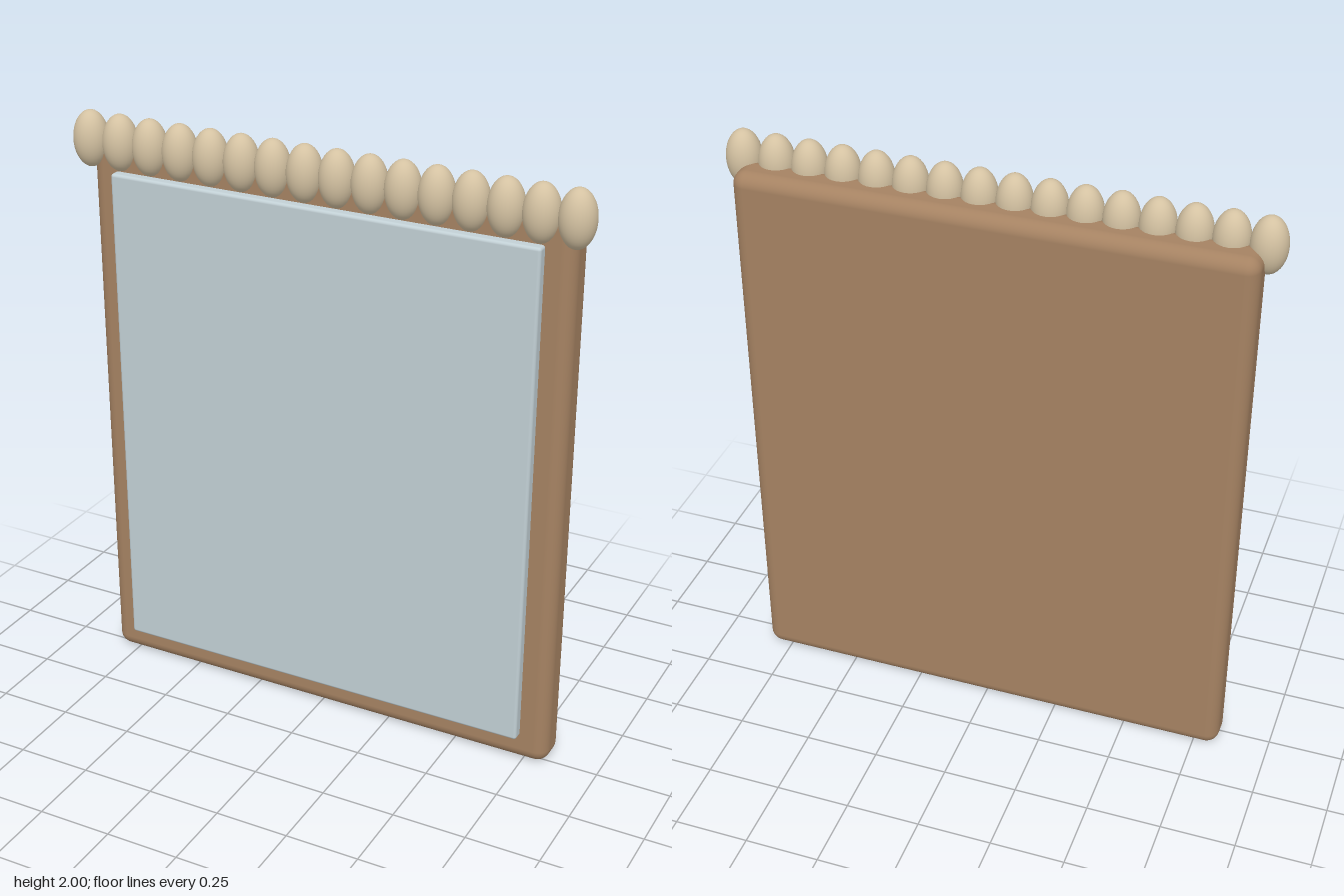
import * as THREE from 'three';
import { RoundedBoxGeometry } from 'three/addons/geometries/RoundedBoxGeometry.js';

export function createModel() {
  const model = new THREE.Group();
  model.name = 'beadedMirror';

  const material = (name, color) => {
    const m = new THREE.MeshStandardMaterial({ color });
    m.name = name;
    return m;
  };
  const wood = material('brown wood', 0xa58262);
  const glass = material('pale blue glass', 0xc2d0d5);
  const bone = material('cream beads', 0xd4c2a2);

  const add = (name, geometry, mat, x, y, z) => {
    const mesh = new THREE.Mesh(geometry, mat);
    mesh.name = name;
    mesh.position.set(x, y, z);
    model.add(mesh);
    return mesh;
  };

  // Thick backing board with softly rounded edges
  add('frame', new RoundedBoxGeometry(1.666, 1.906, 0.132, 5, 0.045), wood, 0, 0.953, -0.025);

  // Mirror panel standing proud of the board
  add('mirrorPanel', new RoundedBoxGeometry(1.48, 1.714, 0.045, 3, 0.01), glass, 0, 0.954, 0.0525);

  // Row of egg-shaped beads along the top edge
  const beadGeometry = new THREE.SphereGeometry(1, 28, 20);
  beadGeometry.scale(0.058, 0.094, 0.058);
  const count = 16;
  for (let i = 0; i < count; i++) {
    const x = -0.833 + (1.666 * i) / (count - 1);
    add('bead' + (i + 1), beadGeometry, bone, x, 1.906, 0.033);
  }

  return model;
}
